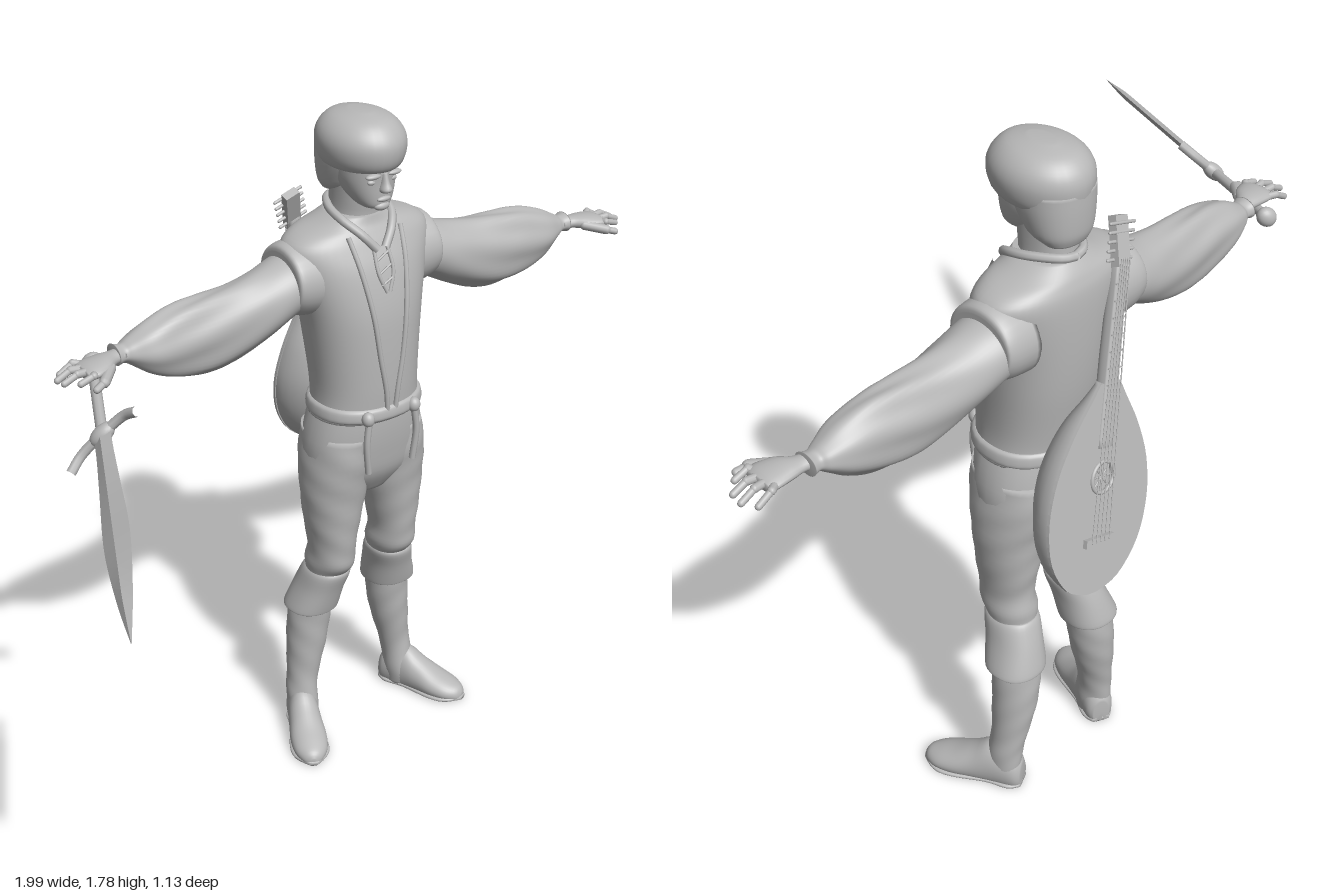
import * as THREE from 'three';

const CX = 0.139; // body centre line
const grey = new THREE.MeshStandardMaterial({ color: 0xb8b8b8 });
grey.name = 'stone grey';
const V = (x, y, z) => new THREE.Vector3(x, y, z);

function add(parent, name, geo) {
  const m = new THREE.Mesh(geo, grey);
  m.name = name;
  parent.add(m);
  return m;
}

// Catmull-Rom through rows of numbers
function refine(rows, steps) {
  const out = [], at = i => rows[Math.min(rows.length - 1, Math.max(0, i))];
  for (let i = 0; i < rows.length - 1; i++)
    for (let k = 0; k < steps; k++) {
      const t = k / steps, [a, b, c, d] = [at(i - 1), at(i), at(i + 1), at(i + 2)];
      out.push(b.map((p, j) => p + 0.5 * t * (c[j] - a[j] +
        t * (2 * a[j] - 5 * p + 4 * c[j] - d[j] + t * (3 * (p - c[j]) + d[j] - a[j])))));
    }
  out.push(rows[rows.length - 1]);
  return out;
}

// Closed skin over cross-sections; ring(row, cos, sin, angle) gives a point
function loft(rows, ring, { n = 32, steps = 4, flat = false } = {}) {
  const rs = refine(rows, steps), pos = [], idx = [], m = rs.length;
  for (const r of rs)
    for (let i = 0; i < n; i++) {
      const a = i / n * Math.PI * 2;
      pos.push(...ring(r, Math.cos(a), Math.sin(a), a));
    }
  for (const k of [0, m - 1]) {
    const c = [0, 0, 0];
    for (let i = 0; i < n * 3; i++) c[i % 3] += pos[k * n * 3 + i] / n;
    pos.push(...c);
  }
  for (let i = 0; i < n; i++) {
    const j = (i + 1) % n;
    for (let k = 0; k < m - 1; k++) {
      const a = k * n + i, b = k * n + j;
      idx.push(a, b, b + n, a, b + n, a + n);
    }
    idx.push(m * n, j, i, m * n + 1, (m - 1) * n + i, (m - 1) * n + j);
  }
  // turn the skin outward using its signed volume
  const p = i => V(pos[i * 3], pos[i * 3 + 1], pos[i * 3 + 2]);
  let vol = 0;
  for (let i = 0; i < idx.length; i += 3) vol += p(idx[i]).dot(p(idx[i + 1]).cross(p(idx[i + 2])));
  if (vol < 0) idx.reverse();
  let g = new THREE.BufferGeometry();
  g.setAttribute('position', new THREE.Float32BufferAttribute(pos, 3));
  g.setIndex(idx);
  if (flat) g = g.toNonIndexed();
  g.computeVertexNormals();
  return g;
}

const sq = (v, e) => Math.sign(v) * Math.abs(v) ** e;
// Upright section row: [y, x offset, half width, front z, back z]
const upright = (s = 1, e = 0.9, fold = 0) => (r, c, n, a) => {
  const k = 1 + fold * Math.sin(a * 3 + r[0] * 75);
  return [CX + s * (r[1] + r[2] * k * sq(c, e)), r[0], (r[3] + r[4]) / 2 + (r[3] - r[4]) / 2 * k * sq(n, e)];
};
// Arm section row: [x offset, top y, bottom y, front z, back z]
const sideways = (s, fold = 0) => (r, c, n, a) => {
  const k = 1 + fold * Math.sin(a * 7 + r[0] * 14) * Math.max(0, 1 - Math.abs(r[0] - 0.48) / 0.24);
  return [CX + s * r[0], (r[1] + r[2]) / 2 + (r[1] - r[2]) / 2 * n * k, (r[3] + r[4]) / 2 + (r[3] - r[4]) / 2 * c * k];
};
const tube = (pts, r) => new THREE.TubeGeometry(new THREE.CatmullRomCurve3(pts), 24, r, 8);
function rod(parent, name, a, b, r) {
  const d = b.clone().sub(a), m = add(parent, name, new THREE.CapsuleGeometry(r, d.length(), 4, 10));
  m.position.copy(a).add(b).multiplyScalar(0.5);
  m.quaternion.setFromUnitVectors(V(0, 1, 0), d.normalize());
  return m;
}
function blob(parent, name, x, y, z, sx, sy, sz) {
  const m = add(parent, name, new THREE.SphereGeometry(1, 20, 14));
  m.position.set(x, y, z);
  m.scale.set(sx, sy, sz);
  return m;
}

const torso = [
  [1.53, 0, 0.072, -0.225, -0.375], [1.51, 0, 0.115, -0.22, -0.392], [1.49, 0, 0.175, -0.21, -0.403],
  [1.46, 0, 0.205, -0.195, -0.412], [1.4, 0, 0.192, -0.17, -0.416], [1.3, 0, 0.165, -0.148, -0.415],
  [1.2, 0, 0.15, -0.142, -0.408], [1.1, 0, 0.141, -0.142, -0.394], [1.04, 0, 0.142, -0.145, -0.386], [1, 0, 0.15, -0.148, -0.386]];
// Point on the chest surface, lifted a little
function onChest(x, y, lift = 0.002) {
  const i = Math.max(1, torso.findIndex(r => r[0] <= y)), a = torso[i - 1], b = torso[i];
  const t = (y - a[0]) / (b[0] - a[0]), [, , w, f, k] = a.map((v, j) => v + (b[j] - v) * t);
  return V(CX + x, y, (f + k) / 2 + (f - k) / 2 * (1 - Math.abs(x / w) ** 2.22) ** 0.45 + lift);
}

function buildHead(g) {
  add(g, 'neck', loft([[1.46, 0, 0.075, -0.225, -0.38], [1.52, 0, 0.06, -0.232, -0.372],
    [1.57, 0, 0.056, -0.225, -0.37], [1.63, 0, 0.055, -0.22, -0.37]], upright()));
  add(g, 'face', loft([[1.558, 0, 0.02, -0.195, -0.235], [1.566, 0, 0.038, -0.181, -0.27], [1.59, 0, 0.055, -0.177, -0.31],
    [1.625, 0, 0.067, -0.175, -0.34], [1.66, 0, 0.071, -0.172, -0.36], [1.7, 0, 0.072, -0.175, -0.36]], upright()));
  add(g, 'nose', loft([[1.655, 0, 0.007, -0.168, -0.19], [1.63, 0, 0.01, -0.16, -0.19],
    [1.612, 0, 0.015, -0.152, -0.19], [1.604, 0, 0.009, -0.166, -0.19]], upright(), { n: 14 }));
  blob(g, 'lips', CX, 1.587, -0.178, 0.02, 0.007, 0.008);
  blob(g, 'chin', CX, 1.567, -0.188, 0.022, 0.012, 0.014);
  for (const s of [1, -1]) {
    blob(g, 'brow', CX + s * 0.03, 1.648, -0.179, 0.022, 0.007, 0.01);
    blob(g, 'eye', CX + s * 0.03, 1.632, -0.186, 0.013, 0.007, 0.008);
    add(g, 'collar flap', tube([onChest(s * 0.012, 1.455, 0.006), V(CX + s * 0.045, 1.495, -0.208),
      V(CX + s * 0.072, 1.525, -0.25), V(CX + s * 0.07, 1.54, -0.31), V(CX + s * 0.03, 1.543, -0.372), V(CX, 1.54, -0.38)], 0.011));
  }
  add(g, 'hair crown', loft([[1.652, 0, 0.07, -0.185, -0.38], [1.66, 0, 0.089, -0.162, -0.393], [1.685, 0, 0.101, -0.149, -0.399],
    [1.72, 0, 0.104, -0.147, -0.4], [1.75, 0, 0.092, -0.162, -0.388], [1.773, 0, 0.064, -0.19, -0.36],
    [1.785, 0, 0.02, -0.24, -0.31]], upright(1, 1)));
  add(g, 'hair back', loft([[1.7, 0, 0.09, -0.21, -0.399], [1.66, 0, 0.087, -0.225, -0.4], [1.62, 0, 0.08, -0.25, -0.399],
    [1.595, 0, 0.072, -0.27, -0.396], [1.575, 0, 0.056, -0.31, -0.388]], upright()));
}

function buildClothes(g) {
  add(g, 'vest', loft(torso, upright(), { n: 48 }));
  add(g, 'hips', loft([[1.04, 0, 0.136, -0.15, -0.383], [0.97, 0, 0.158, -0.152, -0.392], [0.9, 0, 0.168, -0.16, -0.393],
    [0.83, 0, 0.155, -0.175, -0.38], [0.765, 0, 0.07, -0.215, -0.34]], upright()));
  add(g, 'belt', loft([[1.043, 0, 0.143, -0.145, -0.387], [1.035, 0, 0.151, -0.137, -0.394], [1.012, 0, 0.154, -0.136, -0.395],
    [1.003, 0, 0.147, -0.147, -0.388]], upright()));
  for (const s of [1, -1]) {
    add(g, 'vest edge', tube([[0.078, 1.492], [0.068, 1.42], [0.05, 1.3], [0.034, 1.18], [0.018, 1.09], [0.012, 1.03]]
      .map(([x, y]) => onChest(s * x, y)), 0.007));
    add(g, 'shirt opening', tube([[0.02, 1.46], [0.022, 1.4], [0.004, 1.35]].map(([x, y]) => onChest(s * x, y)), 0.005));
    blob(g, 'belt knot', CX + s * 0.072, 1.022, -0.145, 0.017, 0.02, 0.017);
    add(g, 'belt tie', tube([V(CX + s * 0.07, 1.02, -0.142), V(CX + s * 0.078, 0.95, -0.142), V(CX + s * 0.07, 0.865, -0.147)], 0.009));
  }
  for (let i = 0; i < 3; i++)
    add(g, 'lace', tube([onChest(-0.018, 1.37 + i * 0.03, 0.004), onChest(0.018, 1.385 + i * 0.03, 0.004)], 0.003));
}

function buildArm(g, s) {
  add(g, 'armhole', loft([[0.13, 1.48, 1.28, -0.21, -0.408], [0.185, 1.478, 1.288, -0.212, -0.407],
    [0.212, 1.47, 1.3, -0.215, -0.402], [0.217, 1.455, 1.31, -0.225, -0.395]], sideways(s)));
  add(g, 'sleeve', loft([[0.12, 1.44, 1.31, -0.23, -0.4], [0.2, 1.445, 1.295, -0.225, -0.397], [0.28, 1.425, 1.255, -0.226, -0.385],
    [0.36, 1.412, 1.222, -0.232, -0.372], [0.44, 1.407, 1.208, -0.235, -0.366], [0.53, 1.4, 1.22, -0.238, -0.36],
    [0.6, 1.38, 1.25, -0.242, -0.353], [0.65, 1.355, 1.287, -0.262, -0.337], [0.67, 1.345, 1.3, -0.27, -0.325],
    [0.69, 1.35, 1.298, -0.264, -0.33]], sideways(s, 0.05), { n: 56, steps: 6 }));
  add(g, 'hand', loft([[0.67, 1.342, 1.305, -0.27, -0.315], [0.7, 1.34, 1.308, -0.262, -0.31], [0.73, 1.342, 1.306, -0.235, -0.313],
    [0.77, 1.338, 1.306, -0.222, -0.314], [0.79, 1.33, 1.308, -0.232, -0.31]], sideways(s), { n: 20 }));
  const P = (x, y, z) => V(CX + s * x, y, z);
  [0.815, 0.842, 0.845, 0.825].forEach((end, i) => {
    const z = -0.237 - i * 0.022, z2 = z + (1.5 - i) * 0.007;
    rod(g, 'finger', P(0.775, 1.322, z), P(end - 0.035, 1.325, z2), 0.0095);
    rod(g, 'fingertip', P(end - 0.035, 1.325, z2), P(end, 1.314 - i * 0.003, z2), 0.008);
  });
  rod(g, 'thumb', P(0.725, 1.32, -0.25), P(0.765, 1.312, -0.207), 0.013);
  rod(g, 'thumb tip', P(0.765, 1.312, -0.207), P(0.79, 1.304, -0.198), 0.009);
}

function buildLeg(g, s) {
  add(g, 'breeches', loft([[0.95, 0.08, 0.078, -0.165, -0.388], [0.87, 0.088, 0.083, -0.168, -0.388], [0.78, 0.092, 0.084, -0.183, -0.372],
    [0.68, 0.098, 0.07, -0.194, -0.362], [0.6, 0.1, 0.058, -0.203, -0.352], [0.55, 0.1, 0.061, -0.21, -0.362],
    [0.51, 0.103, 0.054, -0.237, -0.362], [0.46, 0.112, 0.054, -0.25, -0.38]], upright(s, 0.95, 0.012)));
  add(g, 'boot cuff', loft([[0.525, 0.102, 0.052, -0.232, -0.362], [0.51, 0.104, 0.06, -0.228, -0.372], [0.46, 0.115, 0.063, -0.245, -0.392],
    [0.4, 0.128, 0.072, -0.262, -0.41], [0.388, 0.13, 0.07, -0.268, -0.408], [0.4, 0.13, 0.058, -0.28, -0.4]], upright(s)));
  add(g, 'boot', loft([[0.43, 0.126, 0.056, -0.275, -0.4], [0.35, 0.133, 0.059, -0.283, -0.407], [0.26, 0.143, 0.054, -0.29, -0.405],
    [0.17, 0.157, 0.044, -0.298, -0.394], [0.11, 0.166, 0.042, -0.293, -0.388], [0.05, 0.168, 0.04, -0.28, -0.386],
    [0.008, 0.168, 0.034, -0.29, -0.382]], upright(s, 1, 0.015)));
  // Foot rows: [distance from heel, half width, height], turned outward
  const dx = 0.42, dz = 0.907;
  add(g, 'foot', loft([[0, 0.022, 0.07], [0.02, 0.038, 0.1], [0.08, 0.043, 0.125], [0.13, 0.047, 0.095], [0.18, 0.051, 0.068],
    [0.225, 0.045, 0.05], [0.255, 0.027, 0.036], [0.266, 0.008, 0.02]], ([d, w, h], c, n) =>
    [CX + s * (0.148 + dx * d + dz * w * c), Math.max(0, h * (0.4 + 0.6 * n)), -0.386 + dz * d - dx * w * c]));
  add(g, 'sole', loft([[0, 0.024], [0.03, 0.041], [0.09, 0.04], [0.18, 0.054], [0.23, 0.047], [0.268, 0.012]], ([d, w], c, n) =>
    [CX + s * (0.148 + dx * d + dz * w * sq(c, 0.5)), 0.006 + 0.006 * sq(n, 0.5), -0.386 + dz * d - dx * w * sq(c, 0.5)], { n: 16 }));
}

function buildSword(parent) {
  const g = new THREE.Group(), pommel = V(-0.585, 1.3, -0.345), tip = V(-1, 1.183, 0.56);
  g.name = 'sword';
  parent.add(g);
  const y = tip.clone().sub(pommel), L = y.length(), z = V(0.13, 0.145, 0.075).cross(y.normalize()).normalize();
  g.quaternion.setFromRotationMatrix(new THREE.Matrix4().makeBasis(y.clone().cross(z), y, z));
  g.position.copy(pommel);
  const blade = [[0.29, 0.028], [0.36, 0.026], [0.5, 0.032], [0.64, 0.039], [0.74, 0.036], [0.88, 0.021], [L, 0.001]];
  add(g, 'blade', loft(blade, ([d, w], c, n) => [w * c, d, Math.min(0.009, w * 0.4) * n], { n: 4, flat: true }));
  add(g, 'guard', tube([V(-0.107, 0.335, 0), V(-0.07, 0.308, 0), V(0, 0.302, 0), V(0.07, 0.308, 0), V(0.107, 0.335, 0)], 0.012));
  blob(g, 'guard block', 0, 0.302, 0, 0.036, 0.022, 0.02);
  rod(g, 'grip', V(0, 0.03, 0), V(0, 0.29, 0), 0.013);
  blob(g, 'pommel', 0, 0.008, 0, 0.028, 0.02, 0.024);
}

function buildLute(parent) {
  const g = new THREE.Group(), low = V(0.26, 0.76, -0.562), y = V(0, 1.56, -0.385).sub(low).normalize();
  g.name = 'lute';
  parent.add(g);
  const x = y.clone().cross(V(0, 0, -1)).normalize();
  g.quaternion.setFromRotationMatrix(new THREE.Matrix4().makeBasis(x, y, x.clone().cross(y)));
  g.position.copy(low).addScaledVector(y, 0.258);
  const rows = [[-0.25, 0.012, 0.006], [-0.225, 0.085, 0.055], [-0.15, 0.147, 0.105], [-0.05, 0.168, 0.123],
    [0.05, 0.152, 0.12], [0.14, 0.108, 0.09], [0.21, 0.058, 0.045], [0.25, 0.03, 0.022]];
  add(g, 'bowl', loft(rows, ([t, w, d], c, n) => [w * c, t, n > 0 ? 0 : d * n]));
  // Flat face with a round sound hole
  const half = refine(rows, 4), outline = half.map(r => new THREE.Vector2(r[1] + 0.003, r[0]))
    .concat(half.slice().reverse().map(r => new THREE.Vector2(-r[1] - 0.003, r[0])));
  const shape = new THREE.Shape(outline);
  shape.holes.push(new THREE.Path().absarc(0, 0.03, 0.034, 0, Math.PI * 2, true));
  add(g, 'soundboard', new THREE.ExtrudeGeometry(shape, { depth: 0.008, bevelEnabled: false, curveSegments: 24 }));
  add(g, 'rosette', new THREE.TorusGeometry(0.037, 0.005, 8, 32)).position.set(0, 0.03, 0.009);
  for (let i = 0; i < 4; i++) {
    const a = i * Math.PI / 4, dx = Math.cos(a) * 0.034, dy = Math.sin(a) * 0.034;
    rod(g, 'rosette bar', V(-dx, 0.03 - dy, 0.005), V(dx, 0.03 + dy, 0.005), 0.002);
  }
  add(g, 'bridge', new THREE.BoxGeometry(0.095, 0.02, 0.012)).position.set(0, -0.12, 0.013);
  add(g, 'neck board', loft([[0.1, 0.024, 0.004], [0.24, 0.023, 0.022], [0.53, 0.018, 0.016]],
    ([t, w, d], c, n) => [w * sq(c, 0.4), t, n > 0 ? 0.013 * n ** 0.4 : d * n], { n: 24 }));
  for (let i = 0; i < 9; i++) add(g, 'fret', new THREE.BoxGeometry(0.042, 0.003, 0.004)).position.set(0, 0.17 + i * 0.038, 0.014);
  const head = add(g, 'peg box', new THREE.BoxGeometry(0.04, 0.11, 0.022));
  head.position.set(0, 0.565, -0.004);
  head.rotation.x = -0.2;
  for (let i = 0; i < 5; i++) {
    rod(g, 'string', V(-0.03 + i * 0.015, -0.12, 0.02), V(-0.014 + i * 0.007, 0.53, 0.018), 0.0015);
    rod(g, 'peg', V(-0.04, 0.525 + i * 0.02, 0), V(0.04, 0.525 + i * 0.02, 0), 0.004);
  }
}

export function createModel() {
  const model = new THREE.Group();
  model.name = 'minstrel swordsman';
  const part = (name, build, ...args) => {
    const g = new THREE.Group();
    g.name = name;
    model.add(g);
    build(g, ...args);
  };
  part('head', buildHead);
  part('torso', buildClothes);
  for (const [side, s] of [['left', 1], ['right', -1]]) {
    part(side + ' arm', buildArm, s);
    part(side + ' leg', buildLeg, s);
  }
  buildSword(model);
  buildLute(model);
  return model;
}
